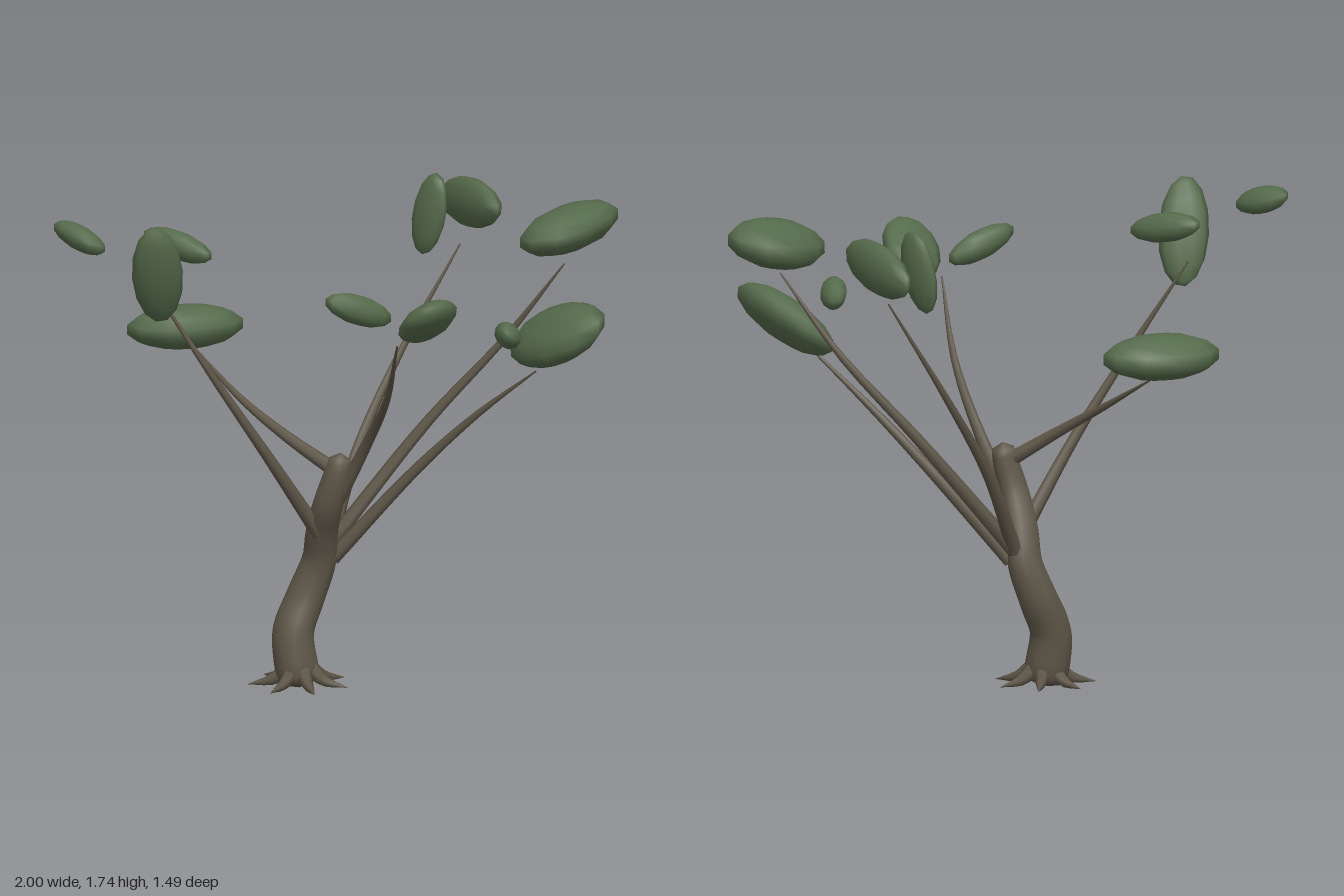
import * as THREE from 'three';
import { mergeVertices } from 'three/addons/utils/BufferGeometryUtils.js';

const bark = new THREE.MeshStandardMaterial({ name: 'bark', color: 0x5e5648 });
const leaf = new THREE.MeshStandardMaterial({ name: 'leafGreen', color: 0x566b4c });

// Weld the seams so that normals run smoothly all round
function smooth(geometry) {
  geometry.deleteAttribute('uv');
  geometry.deleteAttribute('normal');
  const welded = mergeVertices(geometry, 1e-5);
  welded.computeVertexNormals();
  return welded;
}

// Tapered limb along a curve; each stop is [x, y, z, radius]
function limb(name, stops, segments, sides) {
  const curve = new THREE.CatmullRomCurve3(stops.map(s => new THREE.Vector3(s[0], s[1], s[2])));
  const geometry = new THREE.TubeGeometry(curve, segments, 1, sides);
  const pos = geometry.attributes.position;
  const v = new THREE.Vector3();
  for (let i = 0; i <= segments; i++) {
    const u = i / segments;
    const t = curve.getUtoTmapping(u) * (stops.length - 1);
    const k = Math.min(Math.floor(t), stops.length - 2);
    const radius = THREE.MathUtils.lerp(stops[k][3], stops[k + 1][3], t - k);
    const centre = curve.getPointAt(u);
    for (let j = 0; j <= sides; j++) {
      const n = i * (sides + 1) + j;
      v.fromBufferAttribute(pos, n).sub(centre).multiplyScalar(radius).add(centre);
      pos.setXYZ(n, v.x, v.y, v.z);
    }
  }
  const mesh = new THREE.Mesh(smooth(geometry), bark);
  mesh.name = name;
  return mesh;
}

// Leaning ellipsoid: half extents on each axis, and how strongly each pair of axes leans together
function foliage([cx, cy, cz], [hx, hy, hz], [xy, xz, yz]) {
  const a = Math.sqrt(1 - xy * xy);
  const b = (yz - xy * xz) / a;
  const c = Math.sqrt(Math.max(0.02, 1 - xz * xz - b * b));
  const geometry = new THREE.SphereGeometry(1.03, 10, 7);
  geometry.applyMatrix4(new THREE.Matrix4().set(
    hx, 0, 0, cx,
    hy * xy, hy * a, 0, cy,
    hz * xz, hz * b, hz * c, cz,
    0, 0, 0, 1));
  const mesh = new THREE.Mesh(smooth(geometry), leaf);
  mesh.name = 'foliageClump';
  return mesh;
}

export function createModel() {
  const tree = new THREE.Group();
  tree.name = 'tree';

  // Winding trunk with a blunt top
  tree.add(limb('trunk', [
    [-0.13, 0.005, 0, 0.0005], [-0.132, 0.02, 0, 0.07], [-0.14, 0.08, -0.005, 0.08],
    [-0.15, 0.2, -0.018, 0.075], [-0.105, 0.32, -0.045, 0.07], [-0.058, 0.45, -0.042, 0.063],
    [-0.05, 0.57, 0, 0.059], [-0.032, 0.68, 0.055, 0.054], [0, 0.8, 0.073, 0.047],
    [0.008, 0.85, 0.07, 0.038], [0.009, 0.862, 0.07, 0.0005],
  ], 40, 10));

  // Ring of pointed roots
  const roots = new THREE.Group();
  roots.name = 'roots';
  for (let i = 0; i < 7; i++) {
    const angle = Math.PI + i / 7 * Math.PI * 2;
    const at = (d, y, r) => [-0.13 + d * Math.cos(angle), y, d * Math.sin(angle), r];
    roots.add(limb('root', [at(0.04, 0.08, 0.03), at(0.09, 0.038, 0.023), at(0.18, 0.02, 0.001)], 6, 6));
  }
  tree.add(roots);

  // Long branches thinning towards the tips
  const branches = new THREE.Group();
  branches.name = 'branches';
  [
    [[-0.05, 0.54, 0.02], [-0.25, 0.865, 0.125], [-0.45, 1.17, 0.155], [-0.65, 1.48, 0.13]],
    [[0, 0.79, 0.07], [-0.18, 0.91, 0], [-0.33, 1.02, -0.12], [-0.47, 1.15, -0.32]],
    [[-0.02, 0.64, 0.04], [0.09, 0.9, 0.15], [0.15, 1.11, 0.33], [0.17, 1.36, 0.55]],
    [[-0.02, 0.5, -0.06], [0.09, 0.8, -0.23], [0.25, 1.1, -0.39], [0.47, 1.47, -0.48]],
    [[-0.02, 0.5, -0.06], [0.33, 0.92, -0.13], [0.6, 1.22, -0.11], [0.8, 1.5, -0.035]],
    [[-0.01, 0.46, -0.03], [0.28, 0.79, 0.03], [0.48, 1.0, 0.12], [0.68, 1.19, 0.26]],
  ].forEach(path => {
    const radii = [0.028, 0.02, 0.013, 0.003];
    branches.add(limb('branch', path.map((p, i) => [...p, radii[i]]), 14, 7));
  });
  tree.add(branches);

  // Foliage clumps: centre, half extents, lean (xy, xz, yz)
  const crown = new THREE.Group();
  crown.name = 'foliage';
  [
    [[-0.914, 1.68, 0.19], [0.085, 0.052, 0.097], [-0.5, 0.6, -0.3]],
    [[-0.647, 1.56, 0.265], [0.088, 0.18, 0.083], [-0.15, -0.1, 0.75]],
    [[-0.56, 1.615, 0.06], [0.112, 0.055, 0.1], [-0.4, 0.75, -0.3]],
    [[-0.505, 1.23, -0.32], [0.205, 0.077, 0.13], [0, -0.25, 0.1]],
    [[0.037, 1.48, 0.51], [0.117, 0.067, 0.065], [-0.6, -0.6, 0.4]],
    [[0.273, 1.455, 0.59], [0.102, 0.092, 0.15], [0.3, -0.15, 0.6]],
    [[0.362, 1.58, -0.48], [0.058, 0.143, 0.064], [0.4, 0.65, 0.1]],
    [[0.51, 1.605, -0.535], [0.094, 0.09, 0.21], [0.2, 0.82, 0.25]],
    [[0.82, 1.615, -0.087], [0.177, 0.086, 0.187], [0.35, -0.4, -0.05]],
    [[0.57, 1.345, 0.37], [0.045, 0.05, 0.096], [-0.2, 0, 0.3]],
    [[0.76, 1.295, 0.172], [0.155, 0.118, 0.194], [0.65, 0.55, 0.25]],
  ].forEach(clump => crown.add(foliage(...clump)));
  tree.add(crown);

  return tree;
}
